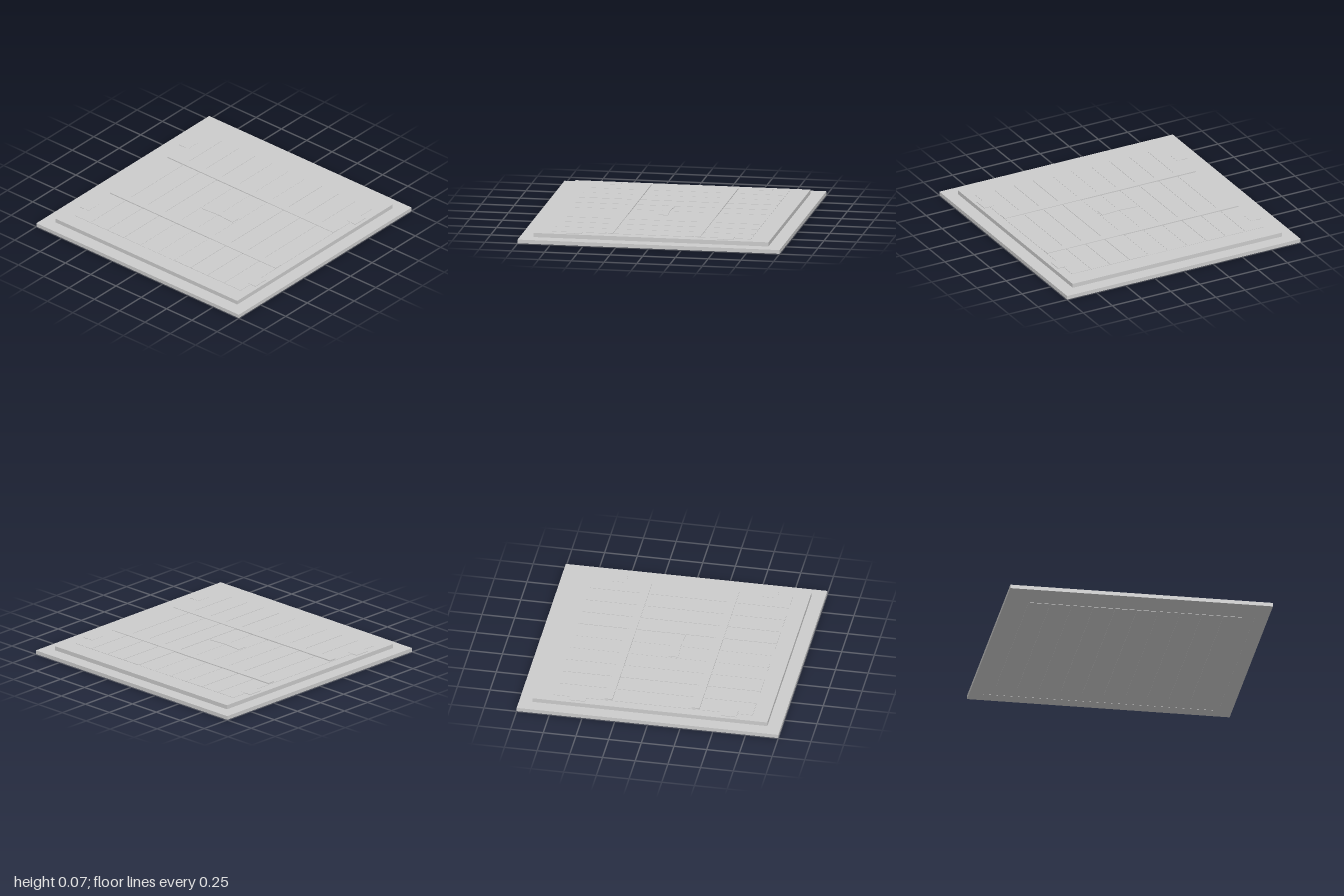
import * as THREE from 'three';

const material = new THREE.MeshStandardMaterial({ color: 0xcccccc, flatShading: true });

export function createModel() {
  const model = new THREE.Group();
  const add = (name, geometry) => {
    const mesh = new THREE.Mesh(geometry, material);
    mesh.name = name;
    model.add(mesh);
    return mesh;
  };
  // Box given by its limits on each axis
  const box = (name, x0, x1, y0, y1, z0, z1) => {
    const mesh = add(name, new THREE.BoxGeometry(x1 - x0, y1 - y0, z1 - z0));
    mesh.position.set((x0 + x1) / 2, (y0 + y1) / 2, (z0 + z1) / 2);
    return mesh;
  };

  // Outer rim with a square opening
  const rim = new THREE.Shape([[-1, -1], [1, -1], [1, 1], [-1, 1]].map(p => new THREE.Vector2(...p)));
  rim.holes.push(new THREE.Path([[-0.897, -0.897], [-0.897, 0.897], [0.897, 0.897], [0.897, -0.897]]
    .map(p => new THREE.Vector2(...p))));
  const rimGeometry = new THREE.ExtrudeGeometry(rim, { depth: 0.029, bevelEnabled: false });
  rimGeometry.rotateX(-Math.PI / 2);
  add('outerRim', rimGeometry).position.y = 0.002;

  // Raised panel inside the rim
  box('raisedPanel', -0.897, 0.897, 0.003, 0.063, -0.897, 0.897);

  // Ten planks, each set at a slightly different height
  const pitch = 0.165;
  const lifts = [0.001, 0.001, 0.0015, 0.0005, 0, 0, 0.002, 0.0015, 0.001, 0.001];
  lifts.forEach((lift, i) => {
    const x = -0.822 + i * pitch;
    box('plank', x, x + pitch - 0.006, lift * 0.6, 0.0645 + lift, -0.75, 0.77);
  });

  // Two cross battens, slightly higher at one end
  for (const z of [-0.333, 0.333]) {
    const batten = box('crossBatten', -0.815, 0.82, 0.058, 0.0715, z - 0.03, z + 0.03);
    batten.rotation.z = -0.003;
  }

  // Butterfly key across the middle joint
  const key = new THREE.Shape([[-0.15, -0.0375], [0, -0.026], [0.15, -0.0375], [0.15, 0.0375], [0, 0.026], [-0.15, 0.0375]]
    .map(p => new THREE.Vector2(...p)));
  const keyGeometry = new THREE.ExtrudeGeometry(key, { depth: 0.012, bevelEnabled: false });
  keyGeometry.rotateX(-Math.PI / 2);
  add('butterflyKey', keyGeometry).position.set(0, 0.0565, 0.04);

  // Corner plates holding the outer planks
  for (const x of [-0.825, 0.825]) {
    for (const z of [-0.56, 0.595]) box('cornerPlate', x - 0.045, x + 0.045, 0.055, 0.067, z - 0.06, z + 0.06);
  }

  return model;
}
